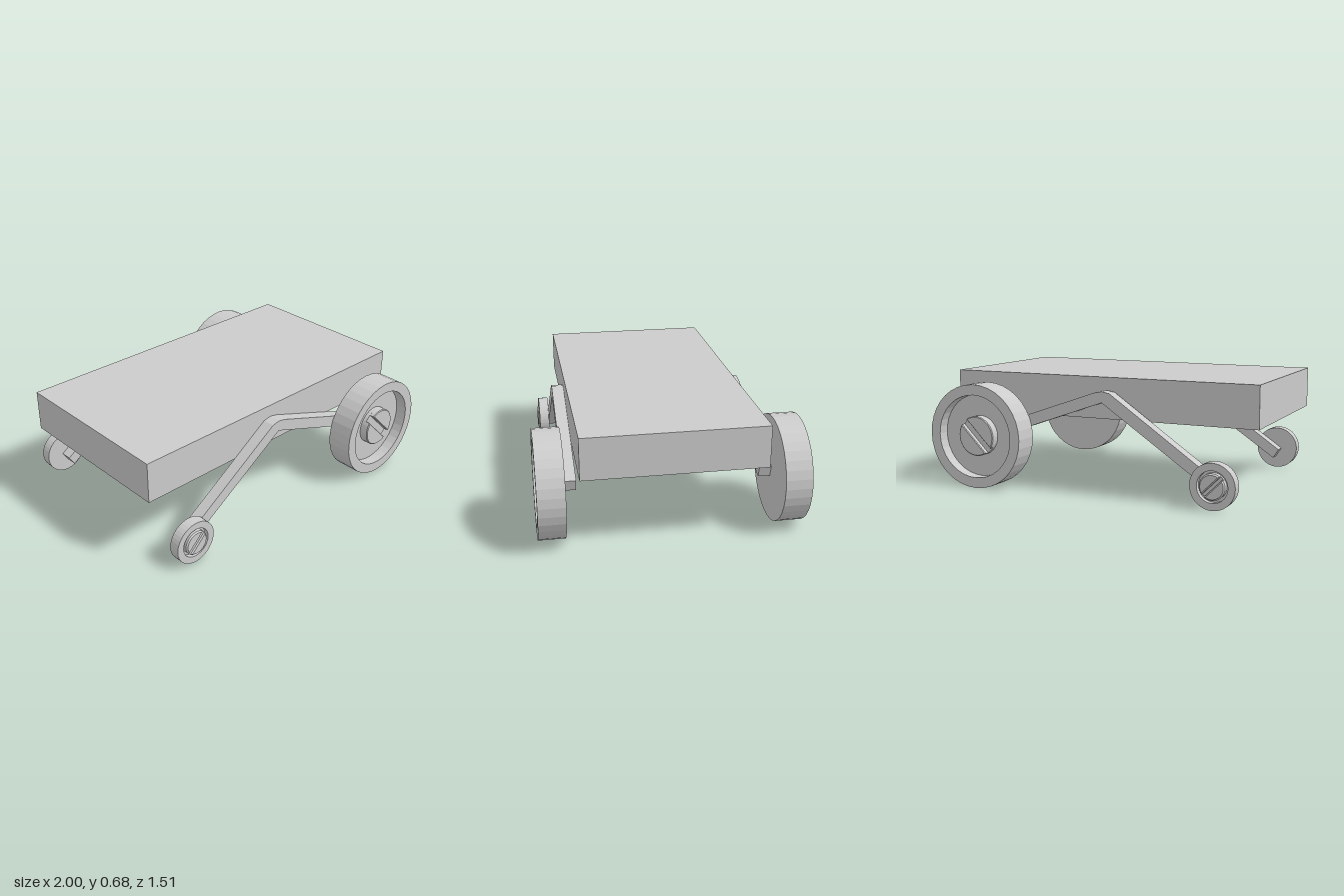
import * as THREE from 'three';

const material = new THREE.MeshStandardMaterial({ color: 0xcccccc, flatShading: true });

function mesh(name, geometry) {
  const m = new THREE.Mesh(geometry, material);
  m.name = name;
  return m;
}

// Slotted hub: a base disc topped by two half-moon caps, axis along +z
function createHub(radius, base, top, bevel, slotAngle) {
  const hub = new THREE.Group();
  hub.name = 'hub';
  const disc = new THREE.CylinderGeometry(radius, radius, base, 32);
  disc.rotateX(Math.PI / 2).translate(0, 0, base / 2);
  hub.add(mesh('hubDisc', disc));
  const gap = Math.asin(0.24);
  for (const turn of [0, Math.PI]) {
    const shape = new THREE.Shape();
    shape.absarc(0, 0, radius - bevel, gap, Math.PI - gap, false);
    shape.closePath();
    const cap = new THREE.ExtrudeGeometry(shape, {
      depth: top - base - bevel, curveSegments: 16,
      bevelEnabled: true, bevelSize: bevel, bevelThickness: bevel, bevelSegments: 1,
    });
    cap.translate(0, 0, base);
    const half = mesh('hubCap', cap);
    half.rotation.z = slotAngle + turn;
    hub.add(half);
  }
  return hub;
}

// Wheel with a recessed outer face, its inner face at z = 0
function createWheel(name, w) {
  const wheel = new THREE.Group();
  wheel.name = name;
  const floor = w.width - w.recess;
  const profile = [
    [0, 0], [w.radius, 0], [w.radius, w.width],
    [w.inner, w.width], [w.inner, floor], [0, floor],
  ].map(([x, y]) => new THREE.Vector2(x, y));
  const rim = new THREE.LatheGeometry(profile, 36).rotateX(Math.PI / 2);
  wheel.add(mesh('rim', rim));
  const hub = createHub(w.hub, w.hubBase, w.hubTop, w.bevel, w.slot);
  hub.position.z = floor;
  wheel.add(hub);
  return wheel;
}

// Bent bar that joins the two wheels of one side
function createArm() {
  const outline = [
    [-0.785, 0.078], [-0.09, 0.545], [0.7, 0.268], [0.722, 0.335],
    [-0.04, 0.6], [-0.09, 0.61], [-0.14, 0.6], [-0.82, 0.135],
  ].map(([x, y]) => new THREE.Vector2(x, y));
  return new THREE.ExtrudeGeometry(new THREE.Shape(outline), { depth: 0.072, bevelEnabled: false });
}

const LARGE = {
  radius: 0.313, inner: 0.25, width: 0.155, recess: 0.07,
  hub: 0.12, hubBase: 0.025, hubTop: 0.055, bevel: 0.005, slot: -Math.PI / 4,
};
const SMALL = {
  radius: 0.132, inner: 0.09, width: 0.064, recess: 0.03,
  hub: 0.075, hubBase: 0.018, hubTop: 0.04, bevel: 0.008, slot: Math.PI / 4,
};

export function createModel() {
  const model = new THREE.Group();
  model.name = 'cart';

  // Flat rectangular body
  const body = mesh('body', new THREE.BoxGeometry(1.948, 0.245, 1.046));
  body.position.set(-0.026, 0.562, 0);
  model.add(body);

  // One arm and two wheels on each side, wheels turned to face outward
  for (const side of [1, -1]) {
    const label = side > 0 ? 'front' : 'back';
    const shift = side > 0 ? 0 : -0.008;
    const arm = mesh(label + 'Arm', createArm());
    arm.position.z = side > 0 ? 0.523 : -0.605;
    model.add(arm);

    const large = createWheel(label + 'LargeWheel', LARGE);
    large.position.set(0.685, 0.315, side * 0.6 + shift / 2);
    const small = createWheel(label + 'SmallWheel', SMALL);
    small.position.set(-0.79, 0.137, side * 0.592 + shift * 2.2);
    for (const wheel of [large, small]) {
      wheel.rotation.y = side > 0 ? 0 : Math.PI;
      model.add(wheel);
    }
  }
  return model;
}
